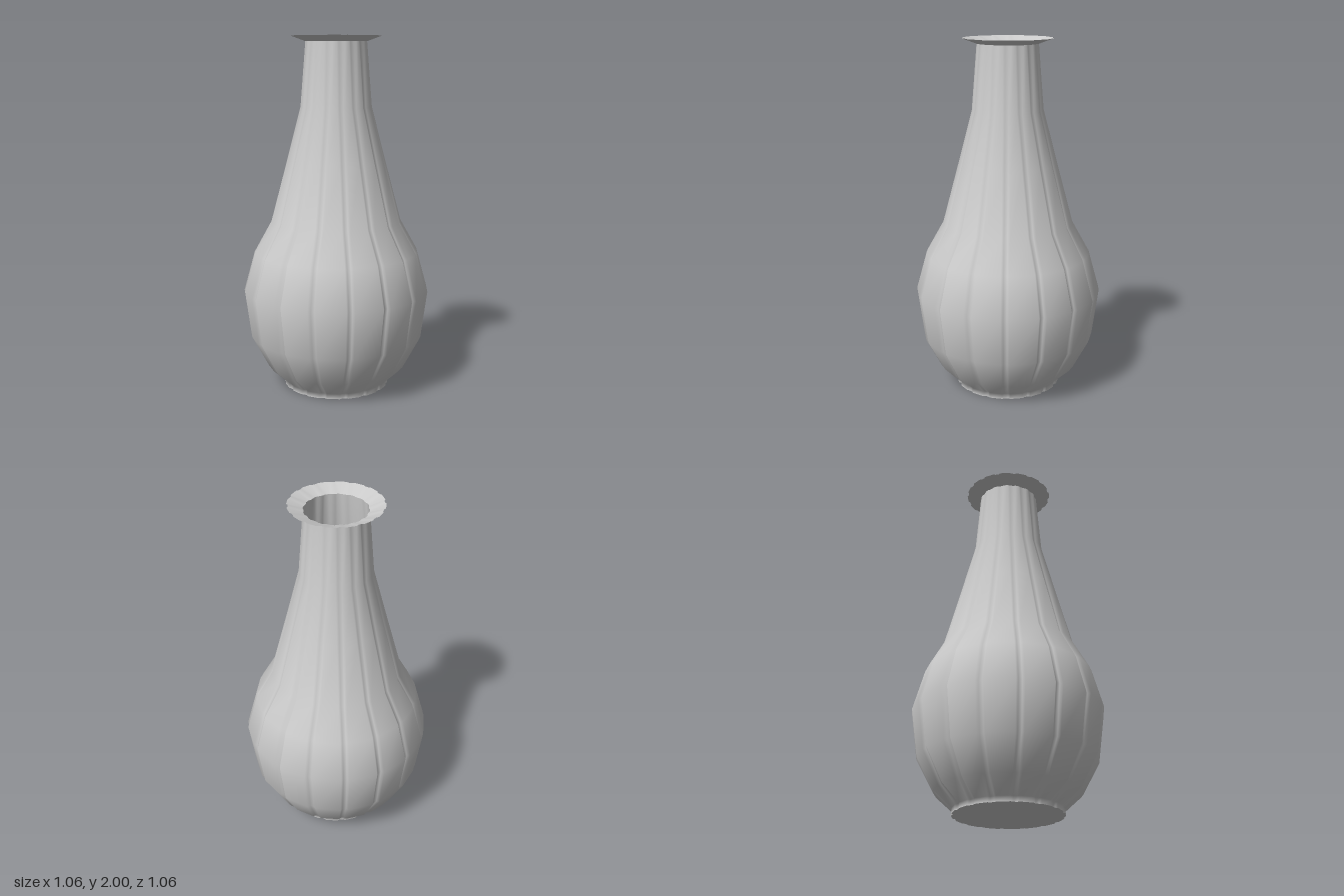
import * as THREE from 'three';

const FLUTES = 16;

// Fluted outline at radius r: wide flat panels parted by narrow, shallow grooves
function ring(r, y) {
  const points = [];
  const edge = 0.023 / r;
  for (let i = 0; i < FLUTES; i++) {
    const a = (i / FLUTES) * Math.PI * 2;
    for (const [offset, scale] of [[-1, 1], [-0.45, 0.972], [0.45, 0.972], [1, 1]]) {
      const t = a + offset * edge;
      points.push([r * scale * Math.cos(t), y, r * scale * Math.sin(t)]);
    }
  }
  return points;
}

// Skin of quads through a list of [radius, height], bottom to top
function loft(profile) {
  const rings = profile.map(([r, y]) => ring(r, y));
  const n = rings[0].length;
  const index = [];
  for (let j = 0; j < rings.length - 1; j++) {
    for (let i = 0; i < n; i++) {
      const a = j * n + i, b = j * n + (i + 1) % n;
      index.push(a, a + n, b, b, a + n, b + n);
    }
  }
  const geometry = new THREE.BufferGeometry();
  geometry.setAttribute('position', new THREE.Float32BufferAttribute(rings.flat(2), 3));
  geometry.setIndex(index);
  geometry.computeVertexNormals();
  return geometry;
}

export function createModel() {
  const group = new THREE.Group();
  group.name = 'flutedVase';
  const material = new THREE.MeshStandardMaterial({ color: 0xcccccc, side: THREE.DoubleSide });

  function add(name, geometry) {
    const mesh = new THREE.Mesh(geometry, material);
    mesh.name = name;
    group.add(mesh);
    return mesh;
  }

  // Bulbous body running up into the neck
  add('body', loft([
    [0.302, 0], [0.302, 0.03], [0.4, 0.12], [0.494, 0.297], [0.53, 0.567],
    [0.468, 0.79], [0.37, 0.965], [0.278, 1.31], [0.2, 1.61], [0.171, 1.97],
  ]));

  // Thin flared lip
  add('lip', loft([[0.171, 1.97], [0.253, 2]]));

  // Floor closing the foot, with the same fluted outline
  const outline = ring(0.302, 0).map(([x, , z]) => new THREE.Vector2(x, z));
  add('base', new THREE.ShapeGeometry(new THREE.Shape(outline)).rotateX(Math.PI / 2));

  return group;
}
